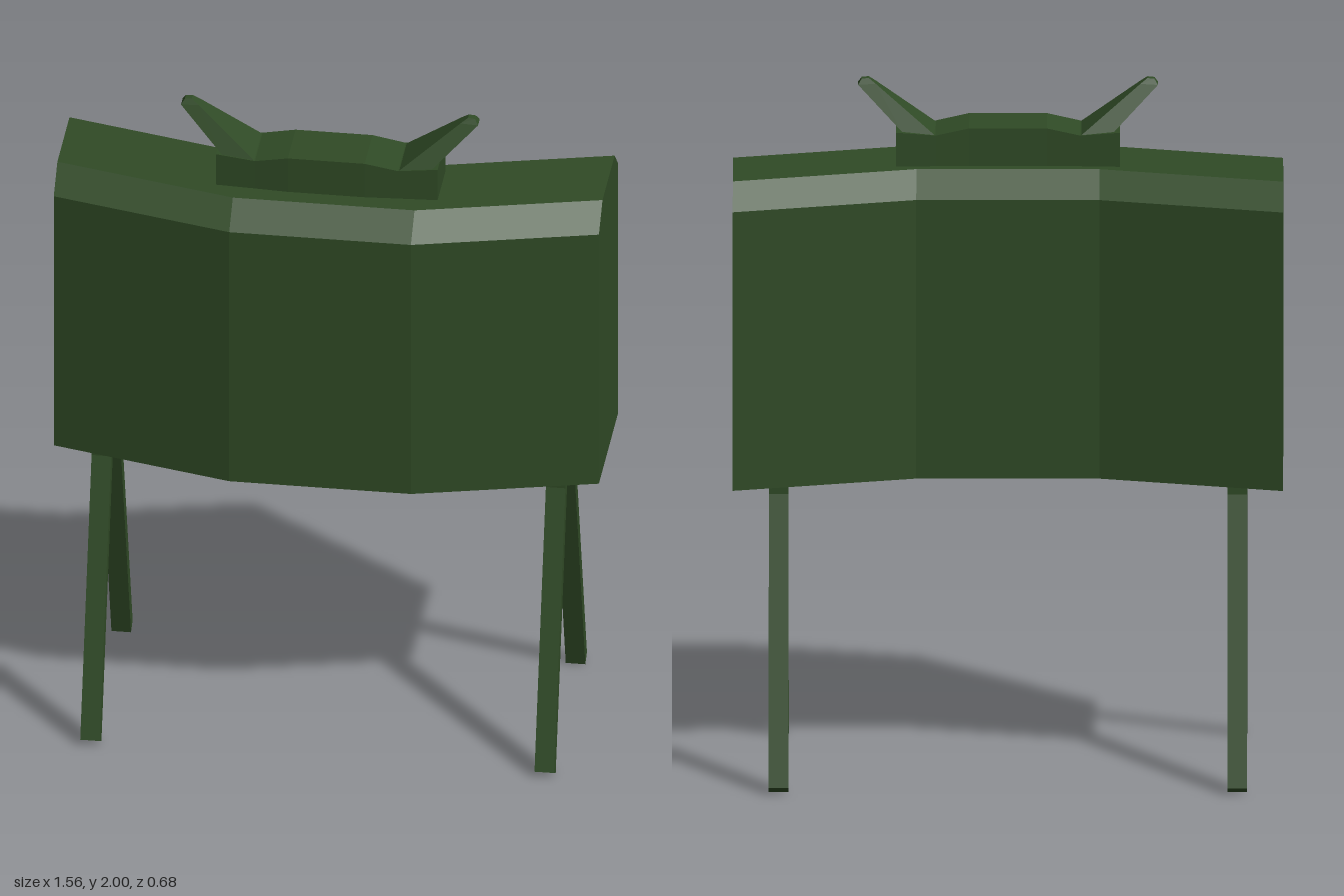
import * as THREE from 'three';

const olive = new THREE.MeshStandardMaterial({ color: 0x304b26 });
olive.name = 'olive green';

// Joins equal rings of [x, y, z] points into a capped, flat-shaded solid.
function loft(rings) {
  const pos = [];
  const tri = (a, b, c) => pos.push(...a, ...b, ...c);
  const n = rings[0].length;
  const last = rings[rings.length - 1];
  for (let s = 0; s < rings.length - 1; s++) {
    for (let i = 0; i < n; i++) {
      const j = (i + 1) % n;
      const [a, b, c, d] = [rings[s][i], rings[s][j], rings[s + 1][j], rings[s + 1][i]];
      tri(a, b, c);
      tri(a, c, d);
    }
  }
  for (let i = 1; i < n - 1; i++) {
    tri(rings[0][0], rings[0][i + 1], rings[0][i]);
    tri(last[0], last[i], last[i + 1]);
  }
  const geo = new THREE.BufferGeometry();
  geo.setAttribute('position', new THREE.Float32BufferAttribute(pos, 3));
  geo.computeVertexNormals();
  return geo;
}

const mirrorRings = rings => rings.map(r => r.map(([x, y, z]) => [-x, y, z]).reverse());

export function createModel() {
  const model = new THREE.Group();
  const add = (name, geo) => {
    const mesh = new THREE.Mesh(geo, olive);
    mesh.name = name;
    model.add(mesh);
    return mesh;
  };

  // Bent casing with chamfered top edges
  const profile = [[1.76, 0.125], [1.69, 0.2], [0.87, 0.2], [0.87, -0.2], [1.69, -0.2], [1.76, -0.125]];
  const stations = [[-0.78, -0.05], [-0.26, 0.08], [0.26, 0.08], [0.78, -0.05]];
  add('casing', loft(stations.map(([x, zc]) => profile.map(([y, z]) => [x, y, zc + z]))));

  // Sight block on top: x, top height, front z, back z
  const block = [
    [-0.317, 1.86, 0.14, -0.02], [-0.205, 1.85, 0.146, -0.014], [-0.11, 1.87, 0.152, -0.01],
    [0.11, 1.87, 0.152, -0.01], [0.205, 1.85, 0.146, -0.014], [0.317, 1.86, 0.14, -0.02],
  ];
  add('sightBlock', loft(block.map(([x, y, f, b]) =>
    [[x, y, f], [x, 1.75, f], [x, 1.75, b], [x, y, b]])));

  // Tapered prongs leaning outwards: inner x, y, outer x, y, inner and outer half depth
  const prong = [
    [0.205, 1.848, 0.3, 1.858, 0.078, 0.072],
    [0.375, 1.985, 0.425, 1.982, 0.018, 0.018],
    [0.395, 2.0, 0.415, 1.998, 0.01, 0.01],
  ].map(([xi, yi, xo, yo, hi, ho]) =>
    [[xi, yi, 0.066 + hi], [xo, yo, 0.066 + ho], [xo, yo, 0.066 - ho], [xi, yi, 0.066 - hi]]);
  add('leftProng', loft(prong));
  add('rightProng', loft(mirrorRings(prong)));

  // Splayed leg pairs, each joined by a flat bridge under the casing
  const half = [[0.105, 0.88], [0.105, 0.82], [0.34, 0.02], [0.306, 0], [0.07, 0.81]];
  const outline = [...half, ...half.map(([z, y]) => [-z, y]).reverse()];
  const legShape = new THREE.Shape(outline.map(([z, y]) => new THREE.Vector2(z, y)));
  for (const [name, x] of [['leftLegs', 0.65], ['rightLegs', -0.65]]) {
    const geo = new THREE.ExtrudeGeometry(legShape, { depth: 0.056, bevelEnabled: false });
    geo.translate(0, 0, -0.028);
    geo.rotateY(Math.PI / 2);
    add(name, geo).position.x = x;
  }

  return model;
}
